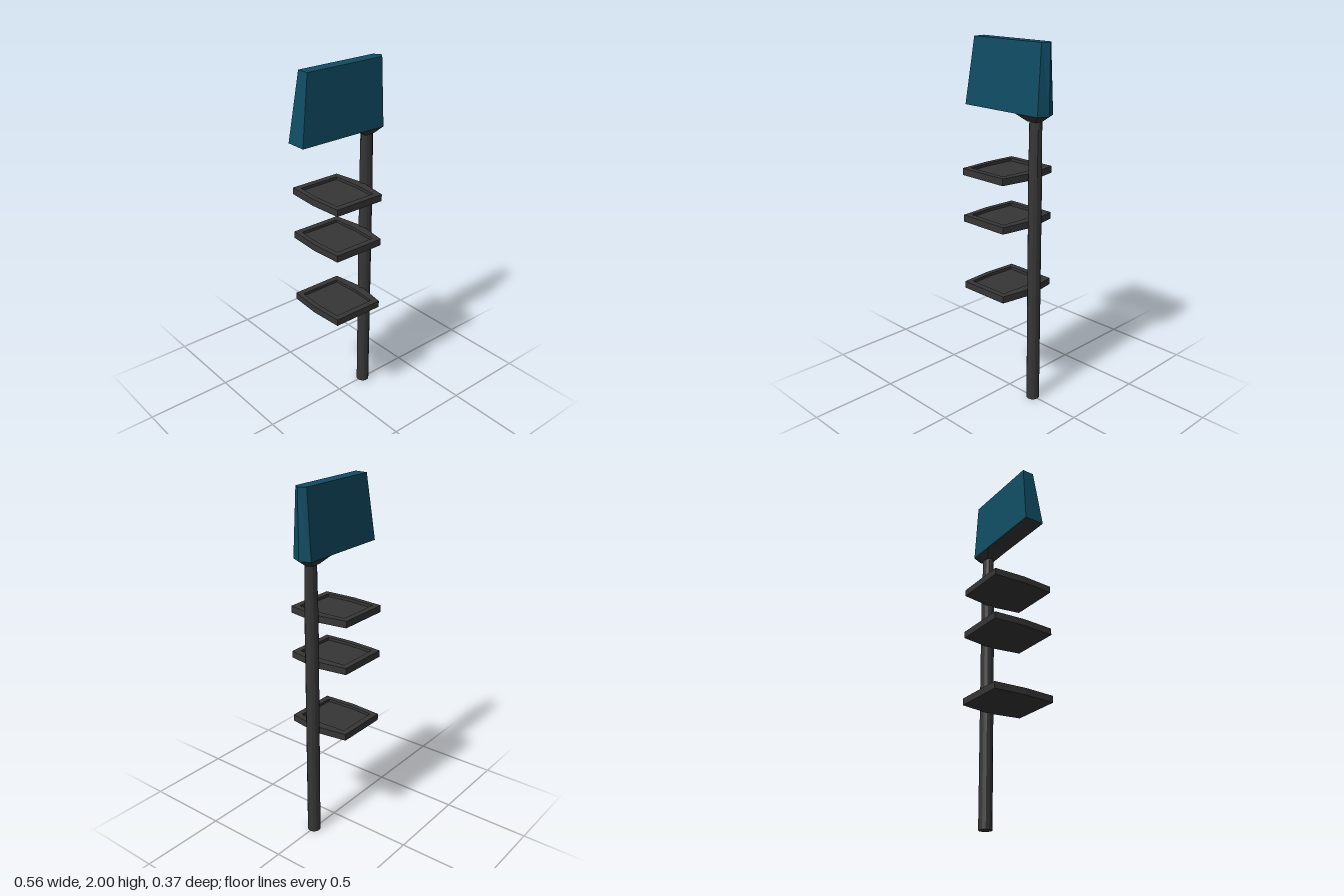
import * as THREE from 'three';

const teal = new THREE.MeshStandardMaterial({ color: 0x0f4c63 });
teal.name = 'teal';
const charcoal = new THREE.MeshStandardMaterial({ color: 0x363636 });
charcoal.name = 'charcoal';

// Joins convex rings of [x, z] points, listed from bottom to top, into a flat-faced solid.
// Groups: 0 = sides and top, 1 = underside.
function loft(levels) {
  const rings = levels.map(([y, pts]) => pts.map(([x, z]) => [x, y, z]));
  const n = rings[0].length;
  const pos = [];
  const tri = (a, b, c) => pos.push(...a, ...b, ...c);
  for (let r = 0; r < rings.length - 1; r++) {
    const a = rings[r], b = rings[r + 1];
    for (let i = 0; i < n; i++) {
      const j = (i + 1) % n;
      tri(a[i], b[i], b[j]);
      tri(a[i], b[j], a[j]);
    }
  }
  const top = rings[rings.length - 1], base = rings[0];
  for (let i = 1; i < n - 1; i++) tri(top[0], top[i + 1], top[i]);
  const split = pos.length / 3;
  for (let i = 1; i < n - 1; i++) tri(base[0], base[i], base[i + 1]);
  const geo = new THREE.BufferGeometry();
  geo.setAttribute('position', new THREE.Float32BufferAttribute(pos, 3));
  geo.addGroup(0, split, 0);
  geo.addGroup(split, pos.length / 3 - split, 1);
  geo.computeVertexNormals();
  return geo;
}

function part(name, geo, material) {
  const mesh = new THREE.Mesh(geo, material);
  mesh.name = name;
  return mesh;
}

// Oval ring around the pole axis
const POLE_X = 0.188;
function oval(rx, rz, n = 12) {
  return Array.from({ length: n }, (_, i) => {
    const a = (i / n) * Math.PI * 2;
    return [POLE_X + Math.cos(a) * rx, Math.sin(a) * rz];
  });
}

// Board outline with a pointed edge on the pole side
const pointed = (left, half) => [
  [0.28, 0], [0.253, half], [left, half], [left, -half], [0.253, -half],
];

// Tray outline with slightly bowed ends
const bowed = (left, leftMid, right, rightMid, half) => [
  [rightMid, 0], [right, half], [left, half], [leftMid, 0], [left, -half], [right, -half],
];

function makeTray() {
  const tray = new THREE.Group();
  const outer = bowed(-0.168, -0.18, 0.135, 0.165, 0.185);
  const inner = bowed(-0.14, -0.15, 0.105, 0.113, 0.15);
  const toVec = (pts) => pts.map(([x, z]) => new THREE.Vector2(x, z));
  const shape = new THREE.Shape(toVec(outer));
  shape.holes.push(new THREE.Path(toVec(inner)));
  const rim = new THREE.ExtrudeGeometry(shape, { depth: 0.038, bevelEnabled: false });
  rim.rotateX(-Math.PI / 2);
  tray.add(part('trayRim', rim, charcoal));
  tray.add(part('trayFloor', loft([[0, inner], [0.022, inner]]), [charcoal, charcoal]));
  return tray;
}

export function createModel() {
  const model = new THREE.Group();
  model.name = 'signpost';

  // Pole, narrowing front to back near the top
  model.add(part('pole', loft([
    [0, oval(0.037, 0.037)],
    [1.3, oval(0.037, 0.037)],
    [1.605, oval(0.037, 0.028)],
  ]), [charcoal, charcoal]));

  // Flared collar under the board
  model.add(part('collar', loft([
    [1.6, [[0.225, 0], [0.212, 0.028], [0.155, 0.028], [0.155, -0.028], [0.212, -0.028]]],
    [1.636, pointed(0.098, 0.058)],
  ]), [charcoal, charcoal]));

  // Tapered sign board with a dark underside
  model.add(part('signBoard', loft([
    [1.636, pointed(-0.28, 0.058)],
    [2, pointed(-0.227, 0.035)],
  ]), [teal, charcoal]));

  // Three shelves beside the pole
  [0.628, 1.022, 1.285].forEach((y, i) => {
    const tray = makeTray();
    tray.name = `tray${i + 1}`;
    tray.position.y = y;
    model.add(tray);
  });

  return model;
}
